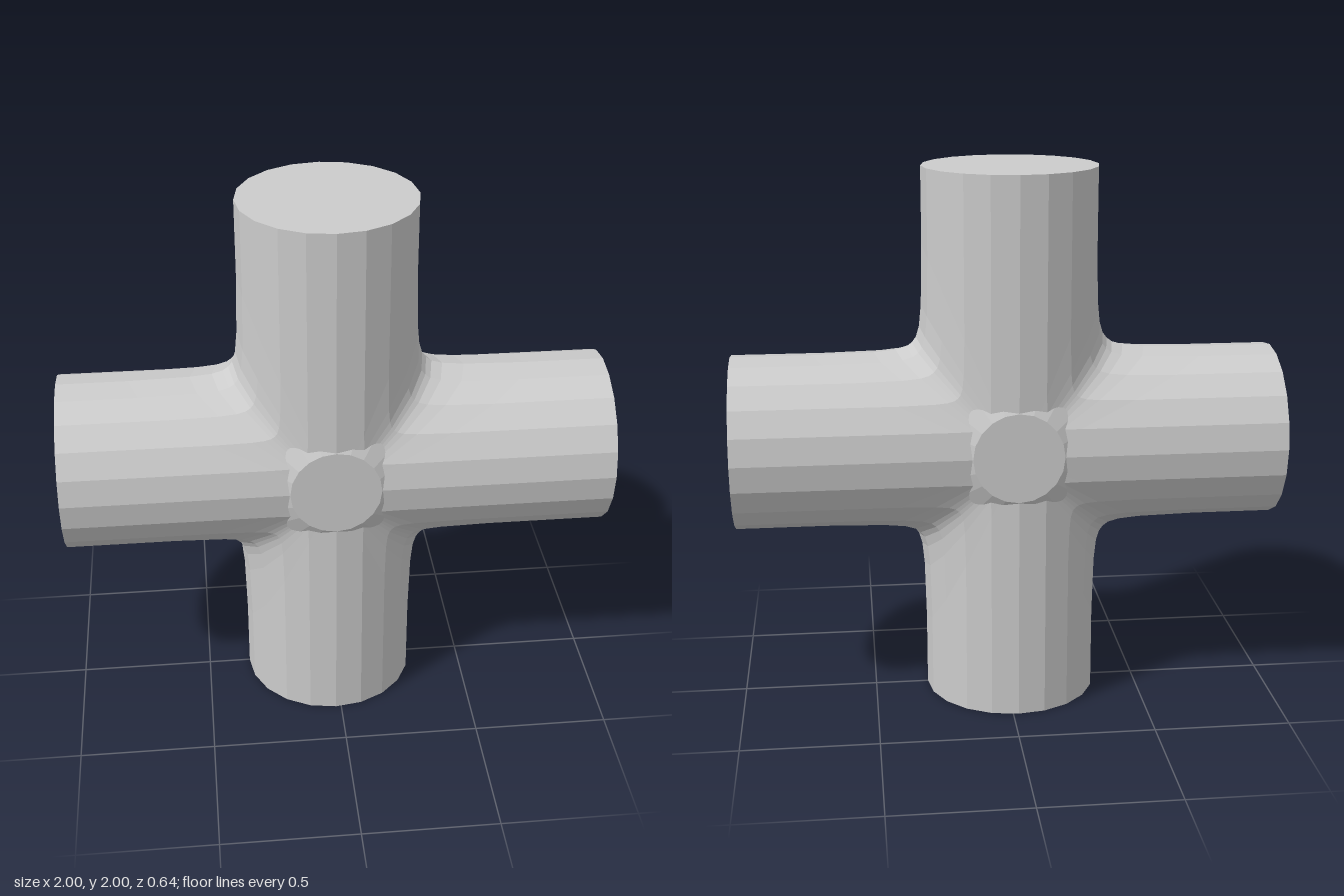
import * as THREE from 'three';

const SIDES = 20;        // facets around each pipe
const R = 0.32;          // pipe radius
const FILLET = 0.04;     // depth of the rounded inner corner
const STEPS = [10, 4.5, 2.5, 1.5, 1]; // fillet stations, from the pipe to the mitre

// One capped pipe arm along +y, flaring into the mitre shared with its neighbours
function armGeometry(length) {
  const rows = STEPS.length + 1; // cap centre, rim, then fillet stations
  const geo = new THREE.PlaneGeometry(1, 1, SIDES, rows);
  const pos = geo.attributes.position;
  for (let i = 0; i < pos.count; i++) {
    const row = Math.floor(i / (SIDES + 1));
    const a = ((i % (SIDES + 1)) / SIDES) * Math.PI * 2;
    const s = Math.sin(a);
    const h = Math.abs(s) * R;
    const z = Math.cos(a) * R;
    if (row === 0) pos.setXYZ(i, 0, length, 0);
    else if (row === 1) pos.setXYZ(i, s * R, length, z);
    else {
      const k = STEPS[row - 2];
      const d = FILLET * Math.abs(s);
      const out = h + (d * (1 / k - 0.1)) / 0.9;
      pos.setXYZ(i, Math.sign(s) * out, h + d * k, z);
    }
  }
  geo.computeVertexNormals();
  return geo;
}

export function createModel() {
  const group = new THREE.Group();
  group.name = 'crossPipe';
  const material = new THREE.MeshStandardMaterial({ color: 0xcccccc, flatShading: true });
  const add = (name, geo) => {
    const mesh = new THREE.Mesh(geo, material);
    mesh.name = name;
    group.add(mesh);
    return mesh;
  };

  // Four arms around the crossing point
  const arms = [['topArm', 1], ['rightArm', 0.98], ['bottomArm', 0.995], ['leftArm', 1.02]];
  arms.forEach(([name, length], i) => {
    const arm = add(name, armGeometry(length));
    arm.rotation.z = (i * Math.PI) / 2;
  });

  // Flat round pads where the pipes cross, front and back
  for (const [name, side] of [['frontPad', 1], ['backPad', -1]]) {
    const pad = add(name, new THREE.CylinderGeometry(0.165, 0.29, 0.07, SIDES));
    pad.rotation.x = (side * Math.PI) / 2;
    pad.position.z = side * 0.286;
  }

  // Crossing point
  group.children.forEach((m) => {
    m.position.x = -0.02;
    m.position.y = 1;
  });
  return group;
}
